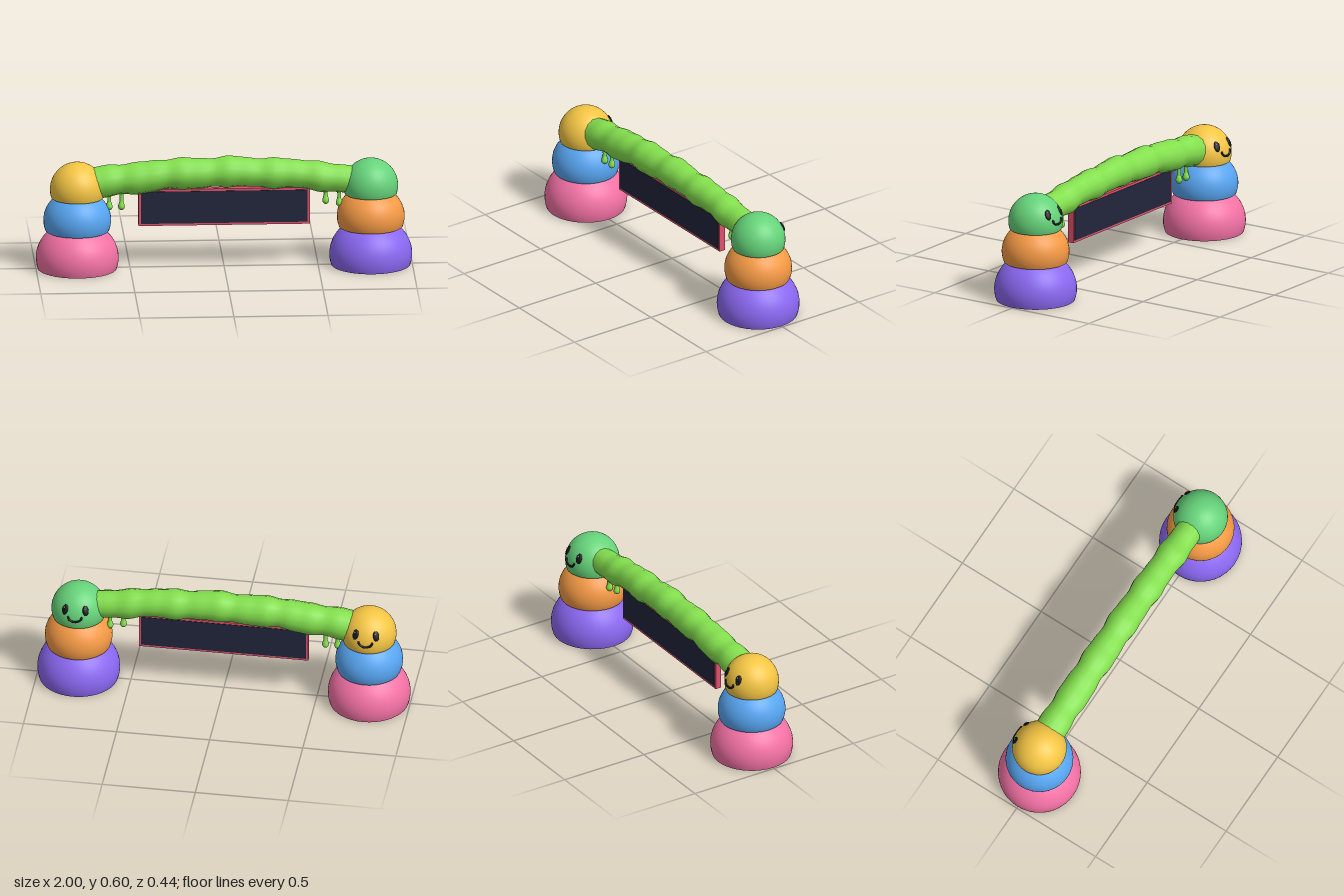
import * as THREE from 'three';
import { mergeVertices } from 'three/addons/utils/BufferGeometryUtils.js';

const material = (color) => new THREE.MeshStandardMaterial({ color });
const slime = material(0x84e04e);
const black = material(0x15151a);
const white = material(0xffffff);

function add(parent, name, geometry, mat, x = 0, y = 0, z = 0) {
  const mesh = new THREE.Mesh(geometry, mat);
  mesh.name = name;
  mesh.position.set(x, y, z);
  parent.add(mesh);
  return mesh;
}

// Ellipsoid cut flat at the bottom, with a closing disc
function addDome(parent, name, color, radius, height, centre, bottom) {
  const cut = Math.acos((bottom - centre) / height);
  const dome = new THREE.Group();
  dome.name = name;
  const mat = material(color);
  const shell = new THREE.SphereGeometry(radius, 40, 20, 0, Math.PI * 2, 0, cut);
  shell.scale(1, height / radius, 1);
  add(dome, name + 'Shell', shell, mat, 0, centre, 0);
  const disc = new THREE.CircleGeometry(radius * Math.sin(cut), 40);
  disc.rotateX(Math.PI / 2);
  add(dome, name + 'Underside', disc, mat, 0, bottom, 0);
  parent.add(dome);
}

const HEAD = { radius: 0.145, height: 0.147, centre: 0.433 };

// Depth of the head's surface on the face side
function faceZ(x, y) {
  const dy = (y - HEAD.centre) / HEAD.height;
  return -Math.sqrt(HEAD.radius ** 2 * (1 - dy * dy) - x * x);
}

function addFace(parent) {
  const face = new THREE.Group();
  face.name = 'face';
  for (const side of [-1, 1]) {
    const x = side * 0.055, y = 0.495;
    const eye = new THREE.Group();
    eye.name = side > 0 ? 'leftEye' : 'rightEye';
    eye.position.set(x, y, faceZ(x, y));
    // Turn the eye so that its flat side follows the head
    eye.lookAt(x * 2, 2 * y - HEAD.centre, 2 * faceZ(x, y));
    add(eye, 'pupil', new THREE.SphereGeometry(1, 20, 14), black).scale.set(0.017, 0.028, 0.008);
    add(eye, 'highlight', new THREE.SphereGeometry(0.005, 10, 8), white, -0.004, 0.011, 0.006);
    face.add(eye);
  }
  // Smile laid on the head
  const points = [];
  for (let i = 0; i <= 12; i++) {
    const a = Math.PI * (i / 12);
    const x = -Math.cos(a) * 0.036, y = 0.46 - Math.sin(a) * 0.024;
    points.push(new THREE.Vector3(x, y, faceZ(x, y) - 0.001));
  }
  const curve = new THREE.CatmullRomCurve3(points);
  add(face, 'smile', new THREE.TubeGeometry(curve, 24, 0.006, 8), black);
  for (const p of [points[0], points[12]]) {
    add(face, 'smileEnd', new THREE.SphereGeometry(0.006, 8, 8), black, p.x, p.y, p.z);
  }
  parent.add(face);
}

function addColumn(parent, name, x, colors) {
  const column = new THREE.Group();
  column.name = name;
  column.position.x = x;
  addDome(column, 'base', colors[0], 0.22, 0.198, 0.058, 0);
  addDome(column, 'body', colors[1], 0.18, 0.164, 0.265, 0.21);
  addDome(column, 'head', colors[2], HEAD.radius, HEAD.height, HEAD.centre, 0.39);
  addFace(column);
  parent.add(column);
}

// Lumpy arched beam: a rippled rod bent upward in the middle
function beamGeometry() {
  const profile = [];
  for (let i = 0; i <= 90; i++) {
    const x = -0.72 + 1.44 * (i / 90);
    const ripple = 0.004 * Math.cos(26.7 * (x - 0.04)) + 0.002 * Math.sin(51 * x + 1);
    profile.push(new THREE.Vector2(0.08 - 0.006 * x + ripple, x));
  }
  let geometry = new THREE.LatheGeometry(profile, 14);
  geometry.rotateZ(-Math.PI / 2);
  const p = geometry.attributes.position;
  for (let i = 0; i < p.count; i++) {
    const x = p.getX(i);
    p.setY(i, p.getY(i) + 0.462 + 0.055 * (1 - (x / 0.7) ** 2) + 0.003 * Math.sin(19 * x + 0.6));
  }
  geometry.deleteAttribute('normal');
  geometry.deleteAttribute('uv');
  geometry = mergeVertices(geometry);
  geometry.computeVertexNormals();
  return geometry;
}

// Hanging drop: thin neck with a rounded tip at the origin
function dripGeometry(length) {
  const profile = [[0, 0], [0.009, 0.003], [0.016, 0.012], [0.018, 0.022], [0.014, 0.038],
    [0.01, 0.055], [0.012, length]].map(([r, y]) => new THREE.Vector2(r, y));
  return new THREE.LatheGeometry(new THREE.SplineCurve(profile).getPoints(18)
    .map((v) => new THREE.Vector2(Math.max(v.x, 0), v.y)), 14);
}

export function createModel() {
  const model = new THREE.Group();
  model.name = 'archway';

  addColumn(model, 'rightColumn', -0.78, [0xf472a5, 0x58a6f2, 0xf4c544]);
  addColumn(model, 'leftColumn', 0.78, [0x8b68f2, 0xf59a45, 0x66d37a]);

  add(model, 'beam', beamGeometry(), slime);
  for (const [x, y] of [[-0.61, 0.315], [-0.545, 0.315], [0.54, 0.333], [0.612, 0.318]]) {
    add(model, 'drip', dripGeometry(0.44 - y), slime, x, y, 0);
  }

  // Two-sided board hanging under the beam
  const board = new THREE.Group();
  board.name = 'board';
  board.position.y = 0.33;
  add(board, 'frame', new THREE.BoxGeometry(0.91, 0.2, 0.034), material(0xe0526c));
  add(board, 'panel', new THREE.BoxGeometry(0.886, 0.176, 0.039), material(0x22263c));
  model.add(board);

  return model;
}
